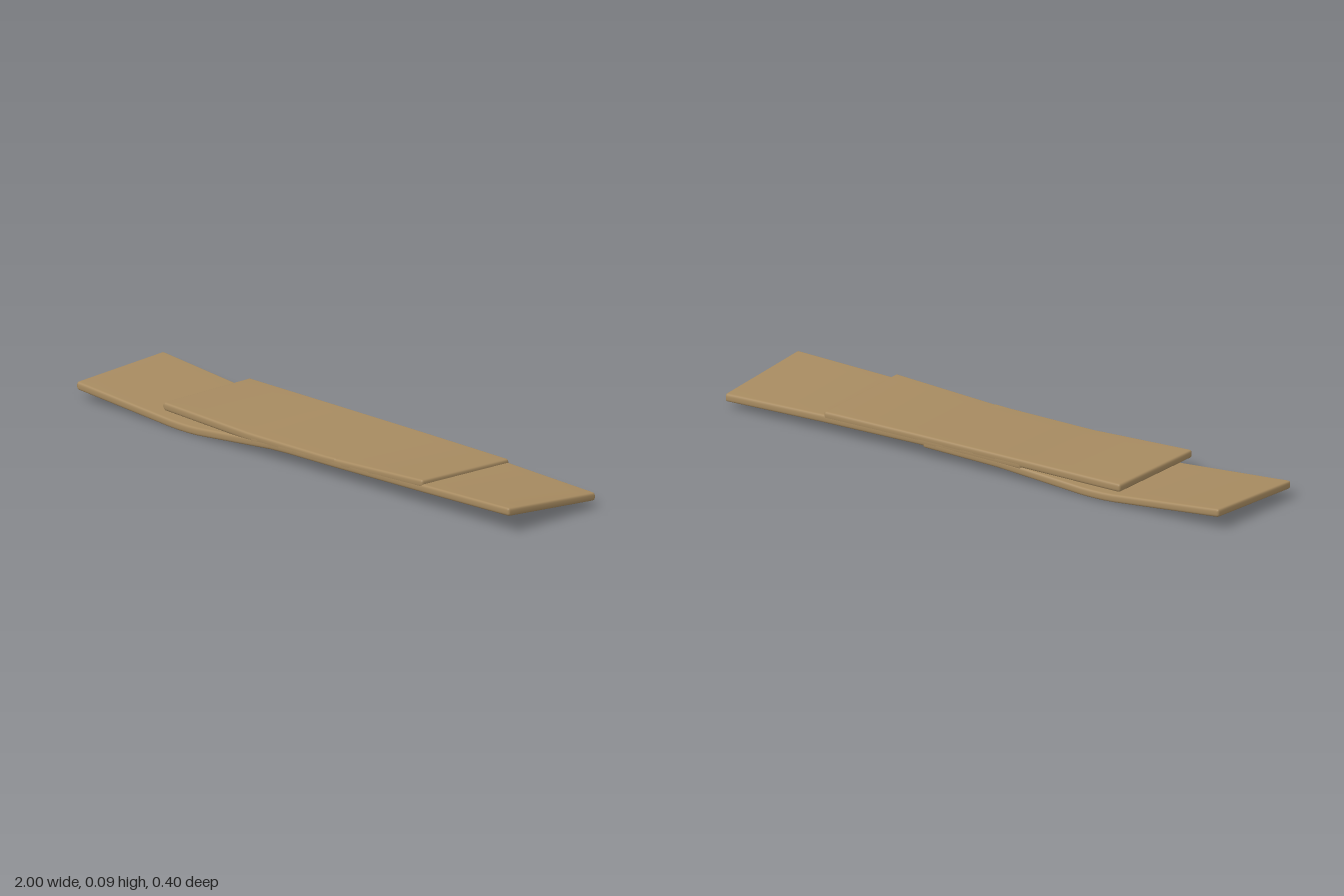
import * as THREE from 'three';
import { mergeVertices } from 'three/addons/utils/BufferGeometryUtils.js';

const LENGTH = 1.2, WIDTH = 0.4, THICK = 0.028, R = 0.009;
const STEPS = { x: 32, y: 6, z: 12 }, ROUND = 2;

// Spread grid lines so that the outer ones fall inside the rounded edge
function spread(v, size, n) {
  const h = size / 2, i = Math.round((v / size + 0.5) * n);
  if (i <= ROUND) return -h + R * i / ROUND;
  if (i >= n - ROUND) return h - R * (n - i) / ROUND;
  return -h + R + (size - 2 * R) * (i - ROUND) / (n - 2 * ROUND);
}

// Height along a list of [x, y] knots
function heightAt(knots, x) {
  let i = 0;
  while (i < knots.length - 2 && x > knots[i + 1][0]) i++;
  const [x0, y0] = knots[i], [x1, y1] = knots[i + 1];
  return y0 + (y1 - y0) * (x - x0) / (x1 - x0);
}

// A warped plank with rounded edges, following separate front and back edge heights
function plank(name, centerX, front, back, material) {
  let geo = new THREE.BoxGeometry(LENGTH, THICK, WIDTH, STEPS.x, STEPS.y, STEPS.z);
  const pos = geo.attributes.position;
  const half = new THREE.Vector3(LENGTH / 2 - R, THICK / 2 - R, WIDTH / 2 - R);
  const p = new THREE.Vector3(), inner = new THREE.Vector3();
  for (let i = 0; i < pos.count; i++) {
    p.set(spread(pos.getX(i), LENGTH, STEPS.x), spread(pos.getY(i), THICK, STEPS.y), spread(pos.getZ(i), WIDTH, STEPS.z));
    inner.copy(p).clamp(half.clone().negate(), half);
    p.sub(inner).setLength(R).add(inner);
    const x = p.x + centerX, t = p.z / WIDTH + 0.5;
    const y = THREE.MathUtils.lerp(heightAt(back, x), heightAt(front, x), t);
    pos.setXYZ(i, x, p.y + y, p.z);
  }
  geo.deleteAttribute('normal');
  geo.deleteAttribute('uv');
  geo = mergeVertices(geo, 1e-5);
  geo.computeVertexNormals();
  const mesh = new THREE.Mesh(geo, material);
  mesh.name = name;
  return mesh;
}

export function createModel() {
  const group = new THREE.Group();
  group.name = 'warpedPlanks';
  const wood = new THREE.MeshStandardMaterial({ color: 0xa68a60 });
  wood.name = 'tan wood';

  // Lower plank, dipping near its outer third
  group.add(plank('lowerPlank', -0.4,
    [[-1, 0.049], [-0.55, 0.017], [-0.46, 0.017], [-0.1, 0.05], [0.2, 0.061]],
    [[-1, 0.062], [-0.55, 0.021], [-0.46, 0.02], [-0.1, 0.044], [0.2, 0.05]], wood));
  // Middle plank, twisted towards its right end
  group.add(plank('middlePlank', 0.4,
    [[-0.2, 0.05], [0.2, 0.056], [0.6, 0.065], [1, 0.076]],
    [[-0.2, 0.056], [0.2, 0.056], [0.6, 0.05], [1, 0.039]], wood));
  // Upper plank, sagging in the middle of its front edge
  group.add(plank('upperPlank', 0,
    [[-0.6, 0.071], [-0.2, 0.056], [0.2, 0.059], [0.6, 0.08]],
    [[-0.6, 0.063], [-0.2, 0.064], [0.2, 0.064], [0.6, 0.062]], wood));
  return group;
}
